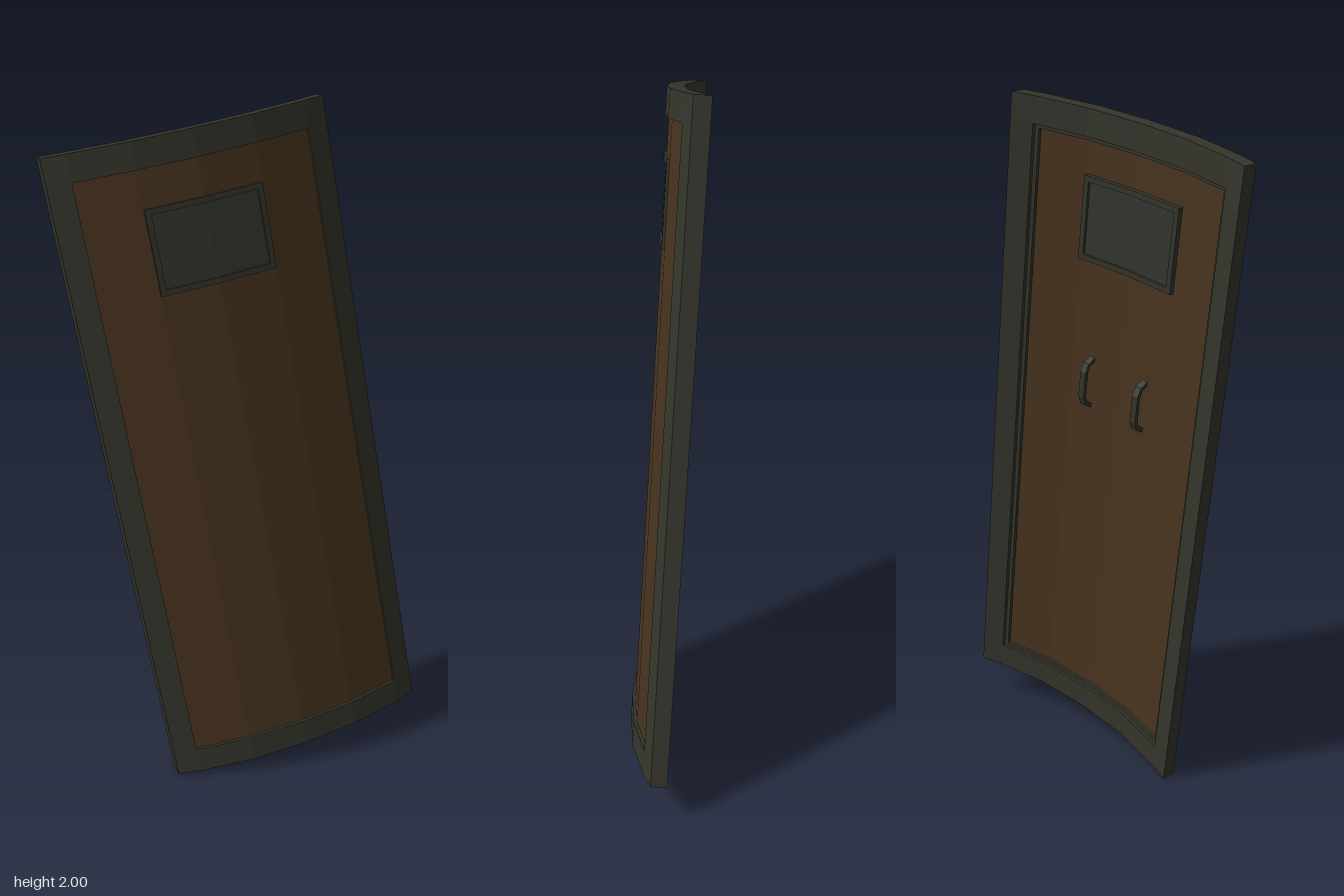
import * as THREE from 'three';

const HALF_W = 0.4, HALF_H = 0.95;     // outer size
const IN_W = 0.335, IN_H = 0.874;      // panel opening
const PANEL_BACK = 0.019, PANEL_FRONT = 0.037;

// Faceted bow of the shield: depth at each distance from the centre line
const BOW = [[0, 0.069], [0.17, 0.059], [IN_W, 0.023], [HALF_W, 0]];
function bow(x) {
  const a = Math.abs(x);
  for (let i = 1; i < BOW.length; i++) {
    const [x0, z0] = BOW[i - 1], [x1, z1] = BOW[i];
    if (a <= x1) return z0 + (z1 - z0) * (a - x0) / (x1 - x0);
  }
  return 0;
}

// Upright slab between xa and xb that follows the bow, between two depths
function bowedSlab(xa, xb, y0, y1, back, front) {
  const folds = [-IN_W, -0.17, 0, 0.17, IN_W].filter(x => x > xa && x < xb);
  const xs = [xa, ...folds, xb];
  const pts = [
    ...xs.map(x => new THREE.Vector2(x, -(bow(x) + front))),
    ...[...xs].reverse().map(x => new THREE.Vector2(x, -(bow(x) + back))),
  ];
  const geo = new THREE.ExtrudeGeometry(new THREE.Shape(pts), { depth: y1 - y0, bevelEnabled: false });
  geo.rotateX(-Math.PI / 2);
  geo.translate(0, y0, 0);
  return geo;
}

function addMesh(parent, name, geo, mat) {
  const mesh = new THREE.Mesh(geo, mat);
  mesh.name = name;
  parent.add(mesh);
  return mesh;
}

// Four bars around an opening of half width w, from height y0 to y1
function addBorder(parent, name, w, y0, y1, barX, barY, back, front, mat) {
  const group = new THREE.Group();
  group.name = name;
  parent.add(group);
  const W = w + barX;
  addMesh(group, name + 'Top', bowedSlab(-W, W, y1, y1 + barY, back, front), mat);
  addMesh(group, name + 'Bottom', bowedSlab(-W, W, y0 - barY, y0, back, front), mat);
  addMesh(group, name + 'Left', bowedSlab(w, W, y0, y1, back, front), mat);
  addMesh(group, name + 'Right', bowedSlab(-W, -w, y0, y1, back, front), mat);
}

export function createModel() {
  const metal = new THREE.MeshStandardMaterial({ color: 0x34352c });
  metal.name = 'dark metal';
  const wood = new THREE.MeshStandardMaterial({ color: 0x49341f });
  wood.name = 'brown panel';
  const glass = new THREE.MeshStandardMaterial({ color: 0x33362f });
  glass.name = 'dark window';

  const model = new THREE.Group();
  model.name = 'curvedShield';
  const shield = new THREE.Group();
  shield.name = 'shield';
  model.add(shield);

  // Panel, recessed on both sides
  addMesh(shield, 'panel', bowedSlab(-IN_W, IN_W, -IN_H, IN_H, PANEL_BACK, PANEL_FRONT), wood);

  // Outer frame, with a small step inside it on the back
  addBorder(shield, 'frame', IN_W, -IN_H, IN_H, HALF_W - IN_W, HALF_H - IN_H, 0, 0.047, metal);
  const lip = 0.012;
  addBorder(shield, 'backLip', IN_W - lip, -IN_H + lip, IN_H - lip, lip, lip, 0.01, PANEL_BACK + 0.002, metal);

  // Window with a raised rim on both sides
  const w = 0.152, rim = 0.016, y0 = 0.546, y1 = 0.752;
  addMesh(shield, 'windowPane', bowedSlab(-w, w, y0, y1, 0.011, 0.039), glass);
  addBorder(shield, 'windowRim', w, y0, y1, rim, rim, 0.004, 0.045, metal);

  // Two bent grips on the back: [distance from panel, height]
  const outer = [[-0.005, 0.082], [0.025, 0.066], [0.036, 0.04], [0.036, -0.04], [0.025, -0.066], [-0.005, -0.082]];
  const inner = [[-0.005, -0.068], [0.017, -0.057], [0.025, -0.036], [0.025, 0.036], [0.017, 0.057], [-0.005, 0.068]];
  const gripShape = new THREE.Shape([...outer, ...inner].map(p => new THREE.Vector2(...p)));
  const gripGeo = new THREE.ExtrudeGeometry(gripShape, { depth: 0.02, bevelEnabled: false });
  gripGeo.translate(0, 0, -0.01);
  gripGeo.rotateY(Math.PI / 2);
  for (const side of [1, -1]) {
    const grip = addMesh(shield, side > 0 ? 'gripLeft' : 'gripRight', gripGeo, metal);
    grip.position.set(side * 0.1, 0.168, bow(0.1) + PANEL_BACK);
  }

  // Lean of the whole shield
  const up = new THREE.Vector3(-0.309, 1.872, -0.103).normalize();
  const across = new THREE.Vector3(0.785, 0.127, -0.013);
  const out = across.clone().cross(up).normalize();
  across.crossVectors(up, out);
  shield.quaternion.setFromRotationMatrix(new THREE.Matrix4().makeBasis(across, up, out));
  shield.position.set(0.001, 1.0, -0.055);
  return model;
}
